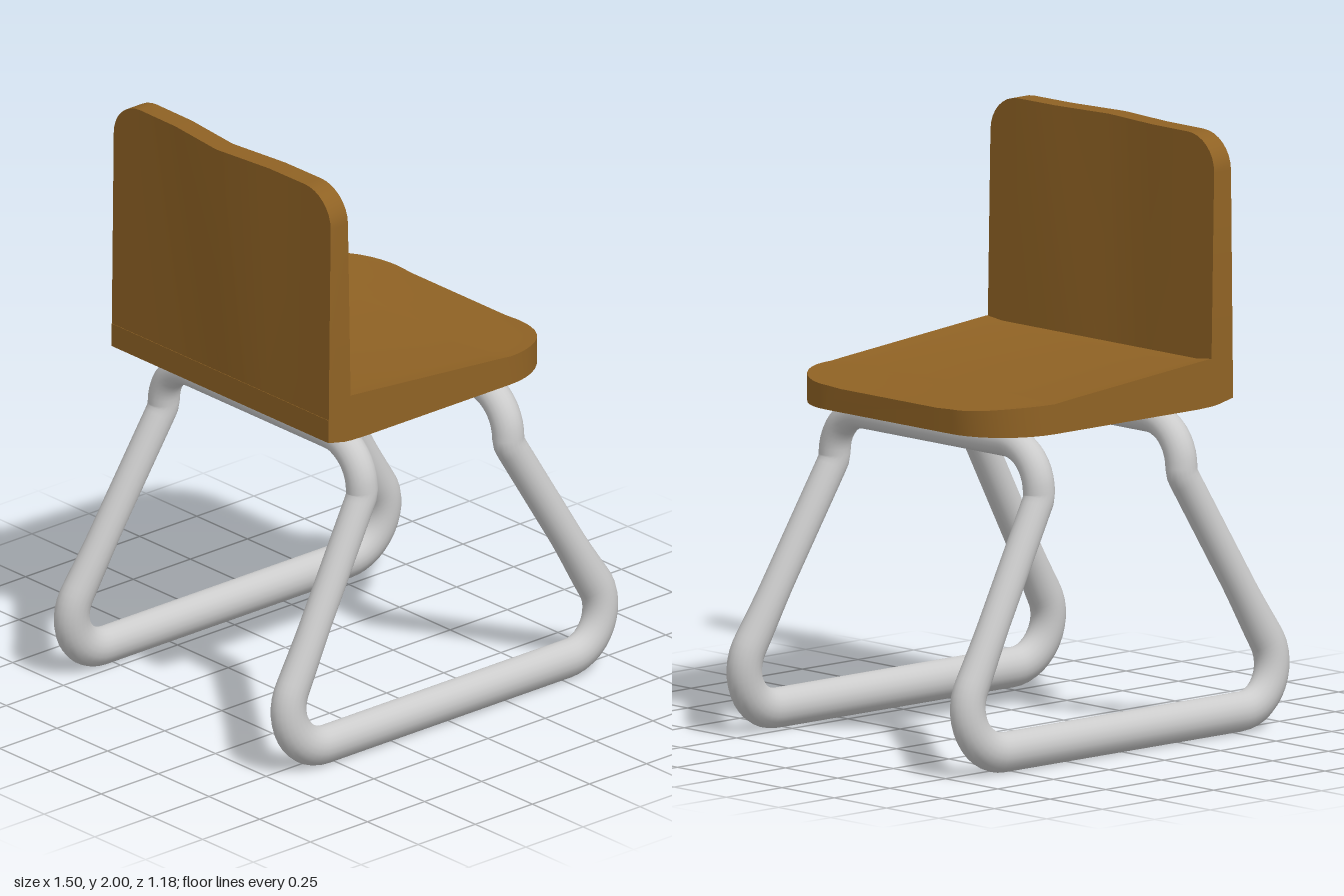
import * as THREE from 'three';
import { toCreasedNormals } from 'three/addons/utils/BufferGeometryUtils.js';

const wood = new THREE.MeshStandardMaterial({ color: 0x8f6224 });
const metal = new THREE.MeshStandardMaterial({ color: 0xcccccc });
const MID_Z = -0.02, HALF = 0.535;

// Skin a row of equal-length rings, with flat caps at both ends
function loft(rings, crease) {
  const n = rings[0].length, index = [];
  for (let i = 0; i < rings.length - 1; i++) {
    for (let j = 0; j < n; j++) {
      const a = i * n + j, b = i * n + (j + 1) % n;
      index.push(a, b, b + n, a, b + n, a + n);
    }
  }
  const end = (rings.length - 1) * n;
  for (let j = 1; j < n - 1; j++) index.push(0, j + 1, j, end, end + j, end + j + 1);
  const g = new THREE.BufferGeometry();
  g.setAttribute('position', new THREE.Float32BufferAttribute(rings.flat(2), 3));
  g.setIndex(index);
  return toCreasedNormals(g, crease);
}

// Closed path through corners, each rounded by an arc that trims its sides
function roundedLoop(corners) {
  const path = new THREE.CurvePath(), count = corners.length;
  const arcs = corners.map(({ p, trim }, i) => {
    const toPrev = corners[(i + count - 1) % count].p.clone().sub(p).normalize();
    const toNext = corners[(i + 1) % count].p.clone().sub(p).normalize();
    const turn = Math.PI - toPrev.angleTo(toNext);
    const k = trim * (1 - (4 / 3) * Math.tan(turn / 4) / Math.tan(turn / 2));
    const at = (dir, d) => p.clone().addScaledVector(dir, d);
    return new THREE.CubicBezierCurve3(at(toPrev, trim), at(toPrev, k), at(toNext, k), at(toNext, trim));
  });
  arcs.forEach((arc, i) => {
    path.add(arc);
    path.add(new THREE.LineCurve3(arc.v3, arcs[(i + 1) % count].v0));
  });
  return path;
}

// Wedge-shaped seat with rounded front corners and a shallow dish
function seatGeometry() {
  // x, half width, bottom y, top y, dish depth
  const sections = [
    [-0.49, HALF, 1.12, 1.2, 0],
    [-0.42, HALF, 1.105, 1.243, 0],
    [-0.39, HALF, 1.102, 1.262, 0.008],
    [-0.33, HALF, 1.1, 1.257, 0.01],
    [0.25, HALF, 1.1, 1.206, 0.008],
  ];
  const steps = 10;
  for (let i = 0; i <= steps; i++) {
    const t = (i / steps) * Math.PI / 2, s = Math.sin(t);
    sections.push([0.31 + 0.245 * s, 0.3 + 0.235 * Math.cos(t), 1.1, 1.2 - 0.018 * s ** 3, 0.004]);
  }
  return loft(sections.map(([x, w, bottom, top, dish]) => {
    const inner = w - 0.07;
    return [[w, bottom], [-w, bottom], [-w, top], [-inner, top - dish], [inner, top - dish], [w, top]]
      .map(([z, y]) => [x, y, MID_Z + z]);
  }), 0.45);
}

// Back panel with rounded top corners, pushed rearward along its top middle
function backGeometry() {
  const half = [], steps = 8;
  for (let i = 0; i <= steps; i++) {
    const t = (i / steps) * Math.PI / 2;
    half.push([0.405 + 0.13 * Math.cos(t), 1.88 + 0.12 * Math.sin(t), 0]);
  }
  half.push([0.23, 2, 0.002]);
  const profile = [
    ...half.map(([z, h, b]) => [-z, h, b]),
    [0, 2, 0.028],
    ...half.slice().reverse(),
  ];
  return loft(profile.map(([z, h, bow]) => {
    const up = (h - 1.2) / 0.8;
    return [
      [-0.489, 1.2], [-0.392, 1.2],
      [-0.392 - 0.015 * up - bow, h], [-0.489 + 0.01 * up - bow, h],
    ].map(([x, y]) => [x, y, MID_Z + z]);
  }), 0.45);
}

// One bent tube: two floor runners, four legs and two bars under the seat
function frameGeometry() {
  const side = [[0.32, 1.05, 0.48, 0.14], [0.32, 0.88, 0.49, 0.015], [0.795, 0.068, 0.545, 0.265]];
  const quarter = (sx, sz) => side.map(([x, y, z, trim]) => ({ p: new THREE.Vector3(sx * x, y, sz * z), trim }));
  const path = roundedLoop([
    ...quarter(1, 1), ...quarter(-1, 1).reverse(),
    ...quarter(-1, -1), ...quarter(1, -1).reverse(),
  ]);
  const g = new THREE.TubeGeometry(path, 360, 0.047, 20, true);
  // Thicken the tube in the upright plane, mostly near the floor
  const pos = g.attributes.position, nor = g.attributes.normal;
  for (let i = 0; i < pos.count; i++) {
    const y = pos.getY(i);
    const low = 1 - THREE.MathUtils.smoothstep(y, 0.25, 0.5);
    pos.setX(i, pos.getX(i) + nor.getX(i) * (0.01 + 0.01 * low));
    pos.setY(i, y + nor.getY(i) * (0.004 + 0.016 * low));
  }
  return g;
}

export function createModel() {
  const group = new THREE.Group();
  group.name = 'chair';
  const add = (name, geometry, material) => {
    const mesh = new THREE.Mesh(geometry, material);
    mesh.name = name;
    group.add(mesh);
  };
  add('seat', seatGeometry(), wood);
  add('backrest', backGeometry(), wood);
  add('legFrame', frameGeometry(), metal);
  return group;
}
